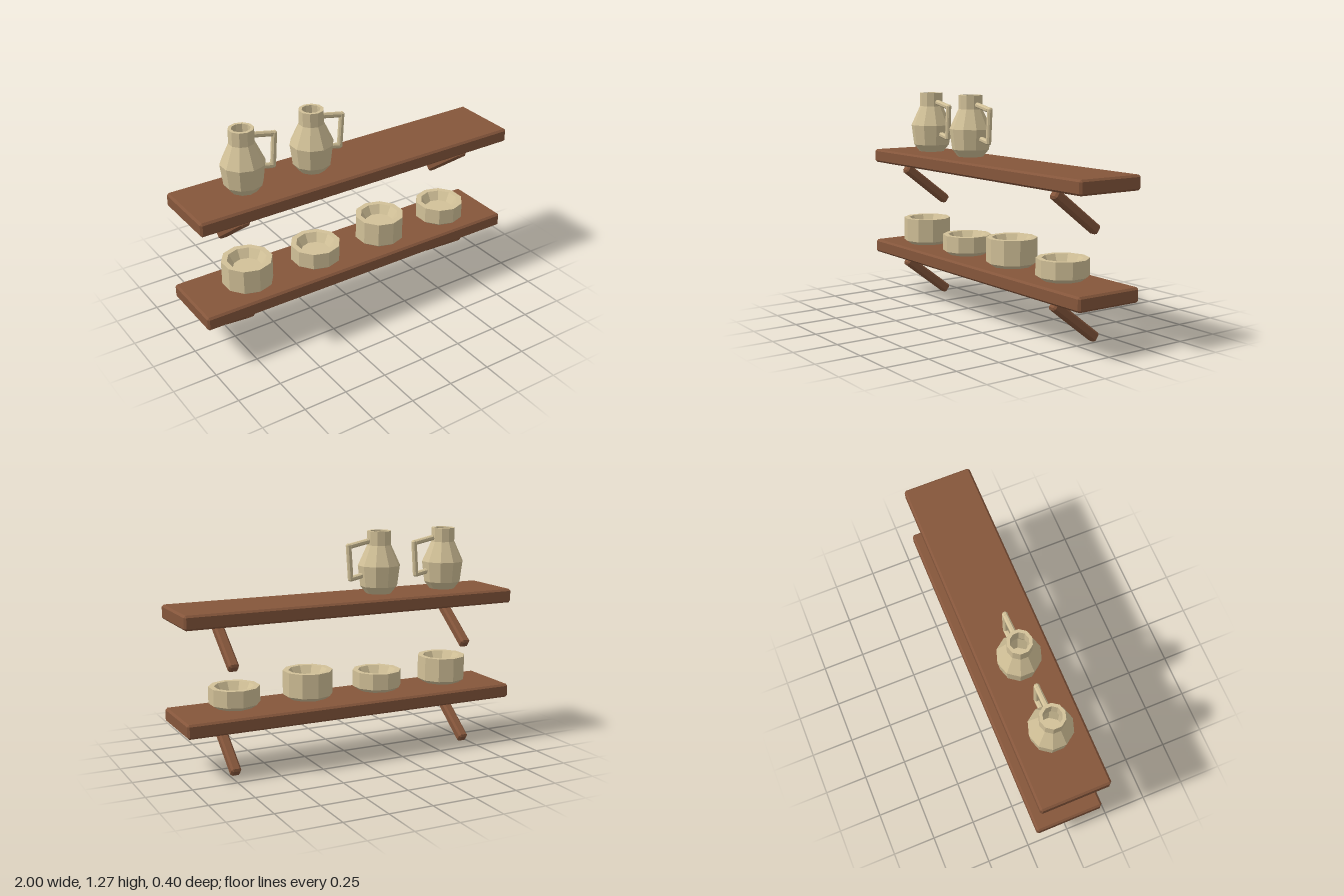
import * as THREE from 'three';
import { ConvexGeometry } from 'three/addons/geometries/ConvexGeometry.js';

// Box with a flat chamfer c on all edges
function chamferBox(w, h, d, c) {
  const pts = [];
  for (const x of [-w / 2, w / 2]) for (const y of [-h / 2, h / 2]) for (const z of [-d / 2, d / 2]) {
    const sx = Math.sign(x) * c, sy = Math.sign(y) * c, sz = Math.sign(z) * c;
    pts.push(
      new THREE.Vector3(x, y - sy, z - sz),
      new THREE.Vector3(x - sx, y, z - sz),
      new THREE.Vector3(x - sx, y - sy, z));
  }
  return new ConvexGeometry(pts);
}

// Ten-sided turned pot from [radius, height] pairs, outer base to inner floor
function turned(profile) {
  return new THREE.LatheGeometry(profile.map(([r, y]) => new THREE.Vector2(r, y)), 10);
}

export function createModel() {
  const wood = new THREE.MeshStandardMaterial({ color: 0x85563b, flatShading: true });
  wood.name = 'brown wood';
  const clay = new THREE.MeshStandardMaterial({ color: 0xd2c198, flatShading: true });
  clay.name = 'pale clay';

  const model = new THREE.Group();
  model.name = 'wallShelves';

  function add(parent, name, geometry, material, x = 0, y = 0, z = 0) {
    const mesh = new THREE.Mesh(geometry, material);
    mesh.name = name;
    mesh.position.set(x, y, z);
    parent.add(mesh);
    return mesh;
  }

  // Two boards, each on a pair of slanted brackets
  const boardGeo = chamferBox(2, 0.08, 0.4, 0.011);
  const bracketGeo = chamferBox(0.057, 0.055, 0.362, 0.011);
  for (const [label, y] of [['lower', 0.295], ['upper', 0.87]]) {
    add(model, label + 'Board', boardGeo, wood, 0, y, 0);
    for (const side of [1, -1]) {
      const name = label + (side > 0 ? 'Left' : 'Right') + 'Bracket';
      add(model, name, bracketGeo, wood, side * 0.72, y - 0.167, -0.005).rotation.x = -0.653;
    }
  }

  // Bowls, alternating tall and short
  [[-0.663, 0.16], [-0.225, 0.115], [0.216, 0.16], [0.658, 0.115]].forEach(([x, h], i) => {
    const geo = turned([
      [0, 0], [0.11, 0], [0.142, 0.022], [0.142, h],
      [0.11, h], [0.08, h - 0.05], [0, h - 0.05],
    ]);
    add(model, 'bowl' + (i + 1), geo, clay, x, 0.345, 0.025);
  });

  // Jugs with an open neck and a three-bar handle
  const jugGeo = turned([
    [0, 0], [0.074, 0], [0.107, 0.042], [0.122, 0.16], [0.069, 0.275], [0.069, 0.355],
    [0.051, 0.355], [0.051, 0.27], [0.09, 0.16], [0.08, 0.05], [0, 0.05],
  ]);
  const handleBars = [
    ['handleTop', 0.06, 0.301, 0.19, 0.275],
    ['handleGrip', 0.194, 0.29, 0.179, 0.078],
    ['handleBottom', 0.1, 0.108, 0.184, 0.09],
  ];
  [-0.644, -0.222].forEach((x, i) => {
    const jug = new THREE.Group();
    jug.name = 'jug' + (i + 1);
    jug.position.set(x, 0.915, 0);
    add(jug, 'jugBody', jugGeo, clay);
    for (const [name, x1, y1, x2, y2] of handleBars) {
      const bar = chamferBox(Math.hypot(x2 - x1, y2 - y1), 0.029, 0.029, 0.008);
      add(jug, name, bar, clay, (x1 + x2) / 2, (y1 + y2) / 2, 0).rotation.z = Math.atan2(y2 - y1, x2 - x1);
    }
    model.add(jug);
  });

  return model;
}
